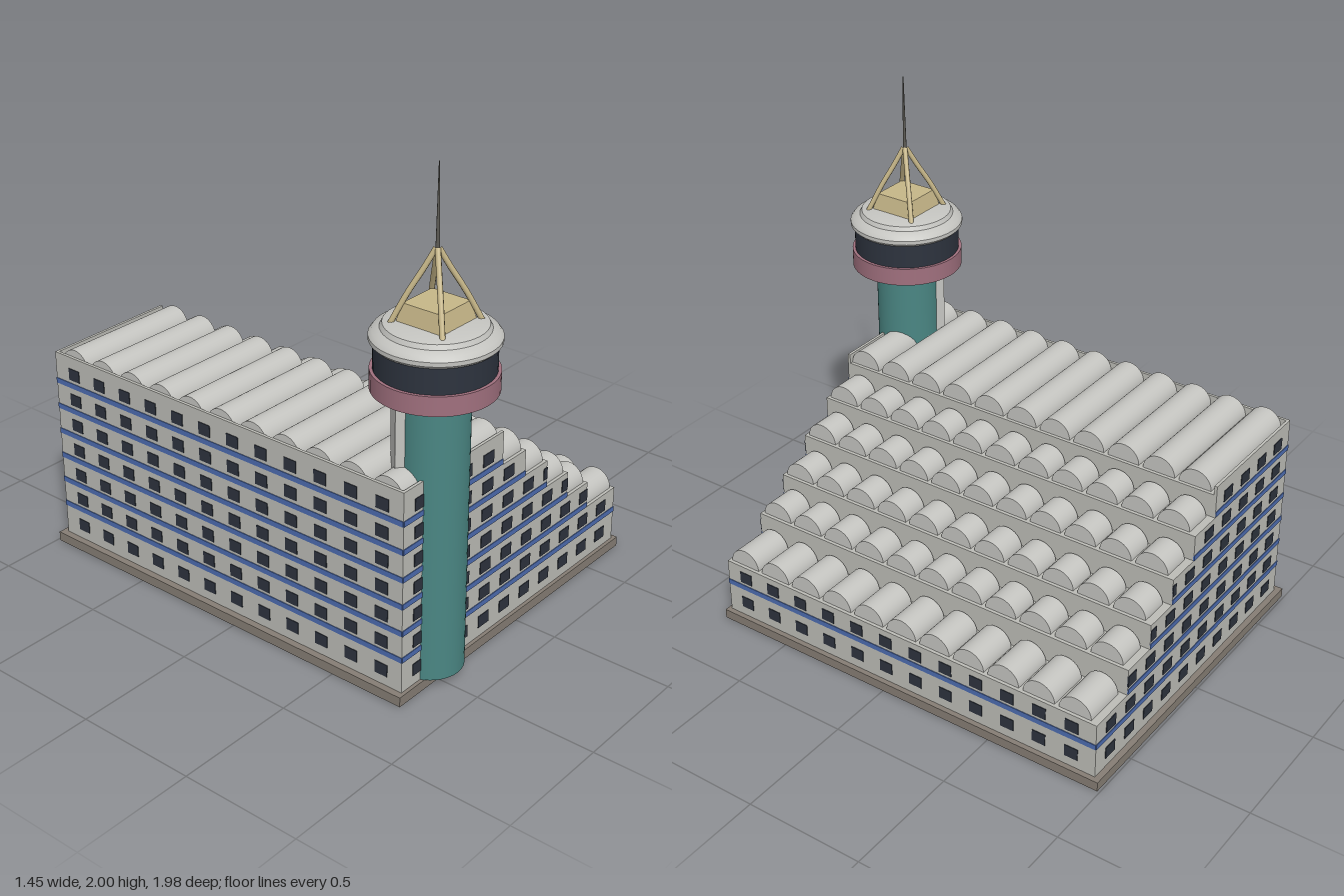
import * as THREE from 'three';
import { mergeGeometries, toCreasedNormals } from 'three/addons/utils/BufferGeometryUtils.js';

const paint = (name, color) => {
  const m = new THREE.MeshStandardMaterial({ color });
  m.name = name;
  return m;
};
const MAT = {
  wall: paint('wall grey', 0xbcbcb6),
  vault: paint('vault grey', 0xc4c4c0),
  base: paint('stone brown', 0x857d74),
  blue: paint('stripe blue', 0x4c6cb0),
  glass: paint('window dark', 0x2d333e),
  teal: paint('tower teal', 0x4a8683),
  pink: paint('ring pink', 0xa0707e),
  gold: paint('crown sand', 0xc6b688),
  spire: paint('spire grey', 0x5c5a54),
};

// Terraces from the tallest to the lowest: right edge and roof height
const STEPS = [
  { x: -0.11, y: 0.83 }, { x: 0.04, y: 0.73 }, { x: 0.19, y: 0.62 },
  { x: 0.34, y: 0.505 }, { x: 0.49, y: 0.395 }, { x: 0.7, y: 0.28 },
];
const LEFT = -0.7, RIGHT = 0.7, FRONT = 0.805, BACK = -0.965;
const DEPTH = FRONT - BACK, MIDZ = (FRONT + BACK) / 2;
const STRIPES = [0.18, 0.293, 0.406, 0.518, 0.631, 0.745];
const ROWS = [0.105, 0.228, 0.341, 0.455, 0.568, 0.682, 0.795];

// Right edge of the stepped wall at a given floor
const edgeAt = (floor) => STEPS[Math.min(5, 6 - floor)].x;

const box = (w, h, d, x, y, z) => new THREE.BoxGeometry(w, h, d).translate(x, y, z);

export function createModel() {
  const model = new THREE.Group();
  model.name = 'terracedBuilding';
  const add = (name, geometry, material, parent = model) => {
    const mesh = new THREE.Mesh(geometry, material);
    mesh.name = name;
    parent.add(mesh);
    return mesh;
  };

  add('baseSlab', box(1.45, 0.04, 1.81, -0.003, 0.02, -0.085), MAT.base);

  // Stepped body, extruded along z
  const outline = new THREE.Shape();
  outline.moveTo(LEFT, 0.04).lineTo(RIGHT, 0.04);
  for (let i = 5; i >= 0; i--) {
    outline.lineTo(STEPS[i].x, STEPS[i].y);
    outline.lineTo(i ? STEPS[i - 1].x : LEFT, STEPS[i].y);
  }
  outline.closePath();
  const body = new THREE.ExtrudeGeometry(outline, { depth: DEPTH, bevelEnabled: false });
  add('terracedBody', body.translate(0, 0, BACK), MAT.wall);

  // Low parapet around the top roof
  const topW = STEPS[0].x - LEFT, topX = (STEPS[0].x + LEFT) / 2;
  add('parapet', mergeGeometries([
    box(topW, 0.04, 0.012, topX, 0.85, FRONT - 0.006),
    box(topW, 0.04, 0.012, topX, 0.85, BACK + 0.006),
    box(0.012, 0.04, DEPTH - 0.024, LEFT + 0.006, 0.85, MIDZ),
  ]), MAT.wall);

  // Barrel vaults, eleven on every terrace
  const vaults = [];
  STEPS.forEach(({ x, y }, i) => {
    const x0 = i ? STEPS[i - 1].x + 0.014 : LEFT + 0.013;
    const x1 = x - 0.014;
    for (let k = 0; k < 11; k++) {
      vaults.push(new THREE.CylinderGeometry(0.07, 0.07, x1 - x0, 24, 1, false, 0, Math.PI)
        .rotateZ(Math.PI / 2)
        .translate((x0 + x1) / 2, y, 0.722 - k * 0.1585));
    }
  });
  add('barrelVaults', mergeGeometries(vaults), MAT.vault);

  // Stripes on all four walls
  const T = 0.006, stripes = [];
  STRIPES.forEach((y, i) => {
    const right = edgeAt(i + 1);
    for (const z of [FRONT, BACK]) {
      stripes.push(box(right - LEFT, 0.022, T, (right + LEFT) / 2, y, z));
    }
    stripes.push(box(T, 0.022, DEPTH, LEFT, y, MIDZ));
    if (i === 0) stripes.push(box(T, 0.022, DEPTH, RIGHT, y, MIDZ));
  });
  add('wallStripes', mergeGeometries(stripes), MAT.blue);

  // Windows, cut off where a terrace ends
  const windows = [];
  ROWS.forEach((y, floor) => {
    const right = edgeAt(floor);
    for (let i = 0; i < 10; i++) {
      const a = -0.637 + i * 0.134;
      const b = Math.min(a + 0.064, right);
      if (b - a < 0.01) continue;
      for (const z of [FRONT, BACK]) windows.push(box(b - a, 0.05, T, (a + b) / 2, y, z));
    }
    for (let i = 0; i < 12; i++) {
      const z = 0.71 - i * 0.1427;
      windows.push(box(T, 0.05, 0.058, LEFT, y, z));
      if (floor < 2) windows.push(box(T, 0.05, 0.058, RIGHT, y, z));
    }
  });
  add('windows', mergeGeometries(windows), MAT.glass);

  // Tower at the front corner
  const tower = new THREE.Group();
  tower.name = 'tower';
  tower.position.set(-0.47, 0, 0.755);
  model.add(tower);
  const drum = (name, r, y0, y1, material) =>
    add(name, new THREE.CylinderGeometry(r, r, y1 - y0, 48).translate(0, (y0 + y1) / 2, 0), material, tower);
  drum('towerShaft', 0.131, 0.04, 1.18, MAT.teal);
  drum('lowerRing', 0.23, 1.175, 1.25, MAT.pink);
  drum('windowBand', 0.218, 1.25, 1.36, MAT.glass);

  // Lift shaft on the inner side of the tower
  add('liftShaft', box(0.14, 0.4, 0.1, 0, 0.99, -0.095).rotateY(Math.PI / 4), MAT.vault, tower);

  // Rounded roof of the tower
  const roof = [[0, 1.35], [0.222, 1.35], [0.234, 1.362], [0.234, 1.378], [0.222, 1.394],
    [0.195, 1.405], [0.186, 1.422], [0.16, 1.43], [0, 1.432]];
  add('towerRoof', toCreasedNormals(
    new THREE.LatheGeometry(roof.map(([r, y]) => new THREE.Vector2(r, y)), 48), 0.6), MAT.vault, tower);

  // Square crown with four curved legs and a spire
  const crown = new THREE.CylinderGeometry(0.083 * Math.SQRT2, 0.1 * Math.SQRT2, 0.075, 4)
    .rotateY(Math.PI / 4).translate(0, 1.4595, 0);
  add('crown', toCreasedNormals(crown, 0.3), MAT.gold, tower);
  const legs = [];
  for (const sx of [-1, 1]) {
    for (const sz of [-1, 1]) {
      const path = [[0.113, 1.42], [0.072, 1.53], [0.033, 1.62], [0.003, 1.695]]
        .map(([r, y]) => new THREE.Vector3(sx * r, y, sz * r));
      legs.push(new THREE.TubeGeometry(new THREE.CatmullRomCurve3(path), 12, 0.0105, 8));
    }
  }
  add('crownLegs', mergeGeometries(legs), MAT.gold, tower);
  add('spire', new THREE.CylinderGeometry(0.002, 0.008, 0.33, 10).translate(0, 1.835, 0), MAT.spire, tower);

  return model;
}
